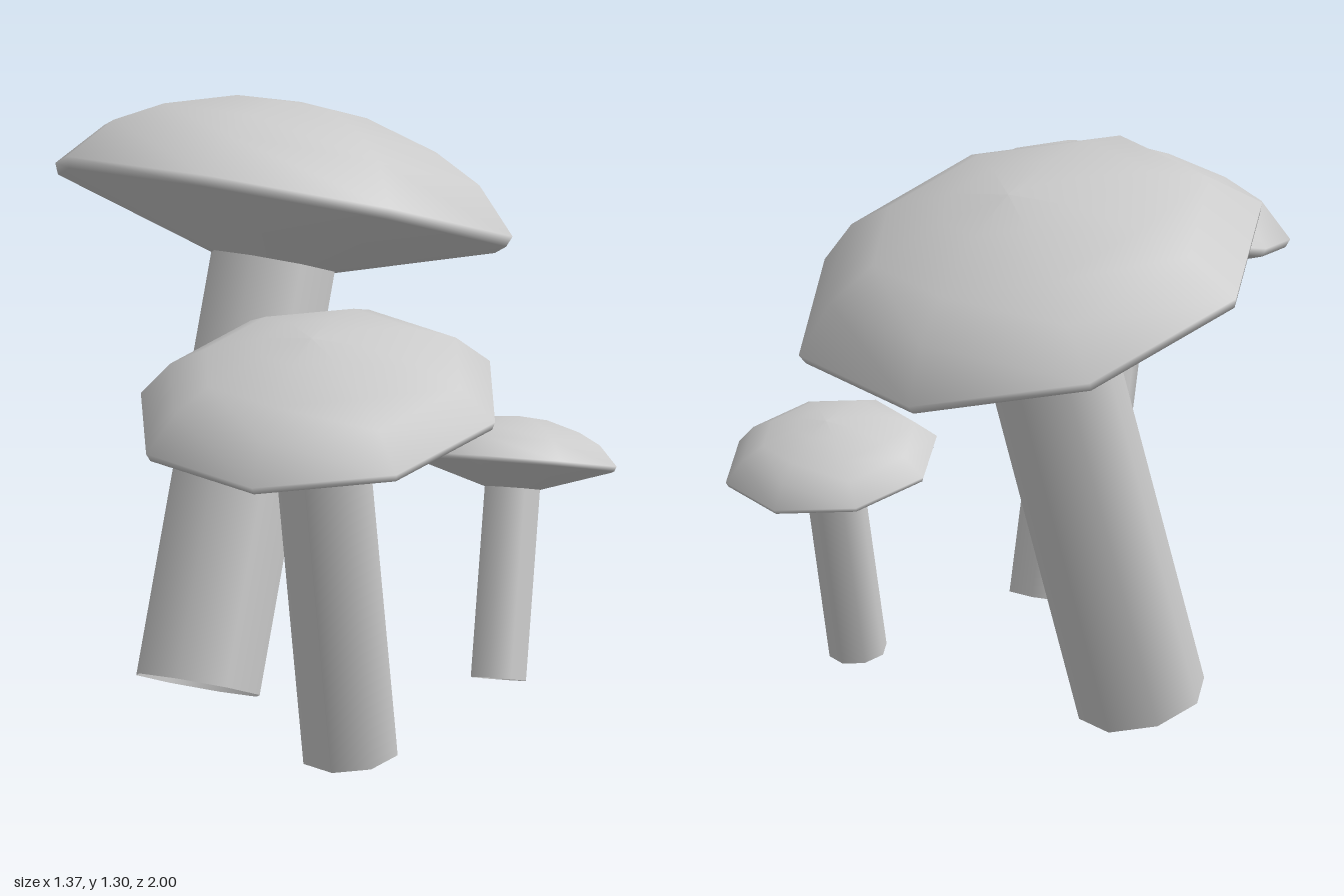
import * as THREE from 'three';

const SIDES = 8;

// Profiles as [radius, height], for a cap of radius 1 with its rim at height 0
const CAP = [[0.26, -0.25], [0.98, -0.035], [1, 0.01], [0.82, 0.195], [0.61, 0.3], [0.29, 0.392], [0, 0.415]];
const STEM = [[0.27, -2], [0.27, -0.24]];

function lathe(name, profile, material) {
  const points = profile.map(([r, h]) => new THREE.Vector2(r, h));
  const mesh = new THREE.Mesh(new THREE.LatheGeometry(points, SIDES), material);
  mesh.name = name;
  return mesh;
}

// One mushroom leaning from the foot of its stem to the centre of its cap rim
function mushroom(name, foot, rim, radius, material) {
  const group = new THREE.Group();
  group.name = name;
  group.add(lathe('cap', CAP, material), lathe('stem', STEM, material));
  const centre = new THREE.Vector3(...rim);
  const lean = centre.clone().sub(new THREE.Vector3(...foot)).normalize();
  group.rotation.set(Math.asin(lean.z), 0, -Math.atan2(lean.x, lean.y), 'ZYX');
  group.position.copy(centre);
  group.scale.setScalar(radius);
  return group;
}

export function createModel() {
  const model = new THREE.Group();
  model.name = 'mushrooms';
  // Open stems show their inside
  const material = new THREE.MeshStandardMaterial({ color: 0xcccccc, side: THREE.DoubleSide });
  model.add(
    mushroom('largeMushroom', [-0.178, 0.045, -0.295], [0.103, 1.05, -0.48], 0.528, material),
    mushroom('mediumMushroom', [-0.15, 0.06, 0.467], [-0.281, 0.857, 0.598], 0.408, material),
    mushroom('smallMushroom', [0.372, 0.082, 0.062], [0.45, 0.542, -0.031], 0.235, material),
  );
  return model;
}
